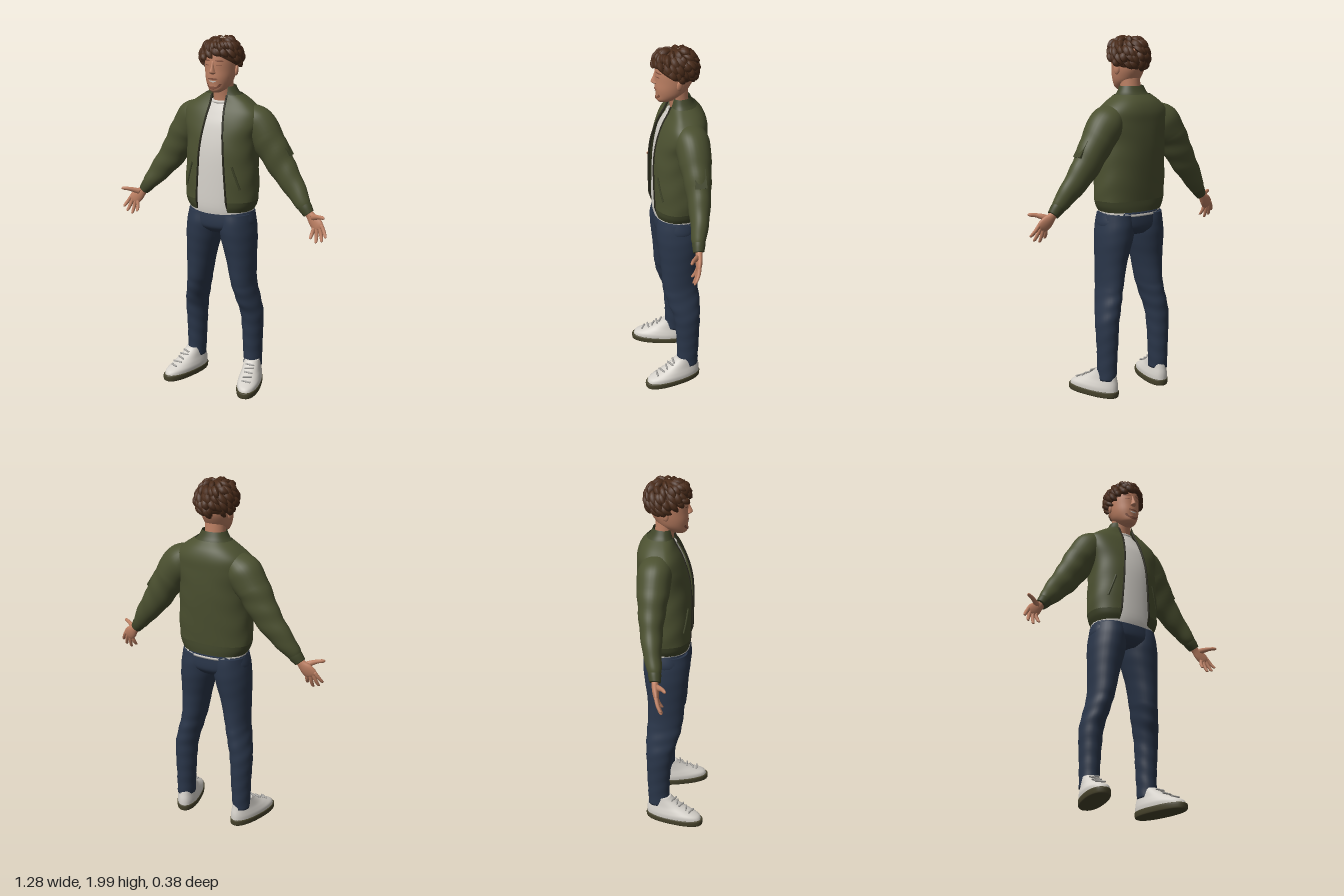
import * as THREE from 'three';
import { mergeGeometries } from 'three/addons/utils/BufferGeometryUtils.js';

const mat = (name, color, side = THREE.FrontSide) => {
  const m = new THREE.MeshStandardMaterial({ color, side });
  m.name = name;
  return m;
};

// Catmull-Rom interpolation of rows of numbers
function smooth(rows, sub) {
  const out = [], last = rows.length - 1, at = i => rows[Math.max(0, Math.min(last, i))];
  for (let i = 0; i < last; i++) for (let k = 0; k < sub; k++) {
    const f = k / sub, [a, b, c, d] = [at(i - 1), at(i), at(i + 1), at(i + 2)];
    out.push(b.map((v, j) => {
      const cubic = 3 * (v - c[j]) + d[j] - a[j], square = 2 * a[j] - 5 * v + 4 * c[j] - d[j];
      return v + 0.5 * f * (c[j] - a[j] + f * (square + f * cubic));
    }));
  }
  out.push(rows[last].slice());
  return out;
}

// Skin over cross-sections [x, y, z, halfWidth, frontDepth, backDepth]; gap(y) leaves the front open
function loft(rows, { sub = 5, n = 32, tilt = false, p = 1, gap = null, ripple = null } = {}) {
  const R = smooth(rows, sub), pos = [], idx = [], cols = gap ? n + 1 : n;
  const pw = v => Math.sign(v) * Math.pow(Math.abs(v), p);
  R.forEach(([x, y, z, ra, rf, rb], j) => {
    let ax = 1, ay = 0;
    if (tilt) {
      const a = R[Math.max(0, j - 1)], b = R[Math.min(R.length - 1, j + 1)];
      const l = Math.hypot(b[0] - a[0], b[1] - a[1]) || 1;
      ax = (b[1] - a[1]) / l; ay = -(b[0] - a[0]) / l;
    }
    const t0 = gap ? Math.asin(Math.pow(Math.min(0.95, gap(y) / ra), 1 / p)) : 0;
    for (let i = 0; i < cols; i++) {
      const t = t0 + (2 * Math.PI - 2 * t0) * i / n, k = ripple ? ripple(y, t) : 1;
      const s = pw(Math.sin(t)) * ra * k, c = pw(Math.cos(t)) * (Math.cos(t) > 0 ? rf : rb) * k;
      pos.push(x + ax * s, y + ay * s, z + c);
    }
  });
  for (let j = 0; j < R.length - 1; j++) for (let i = 0; i < n; i++) {
    const a = j * cols + i, b = j * cols + (i + 1) % cols;
    idx.push(a, b, a + cols, b, b + cols, a + cols);
  }
  if (!gap) [0, R.length - 1].forEach((j, end) => {
    const c = pos.length / 3;
    pos.push(R[j][0], R[j][1], R[j][2]);
    for (let i = 0; i < n; i++) {
      const a = j * n + i, b = j * n + (i + 1) % n;
      if (end) idx.push(a, b, c);
      else idx.push(b, a, c);
    }
  });
  const g = new THREE.BufferGeometry();
  g.setAttribute('position', new THREE.Float32BufferAttribute(pos, 3));
  g.setIndex(idx);
  g.computeVertexNormals();
  g.userData.cols = cols;
  return g;
}

// Depth of the front surface of an upright loft at (x, y)
function frontZ(rows, x, y, p = 1) {
  const R = smooth(rows, 12);
  const r = R.reduce((m, q) => Math.abs(q[1] - y) < Math.abs(m[1] - y) ? q : m);
  const s = Math.pow(Math.min(1, Math.abs(x) / r[3]), 1 / p);
  return r[2] + r[4] * Math.pow(Math.sqrt(1 - s * s), p);
}

const tube = (pts, r, seg = 24) => new THREE.TubeGeometry(
  new THREE.CatmullRomCurve3(pts.map(q => new THREE.Vector3(...q))), seg, r, 6);

export function createModel() {
  const model = new THREE.Group();
  const jacket = mat('olive jacket', 0x4b5030, THREE.DoubleSide), rib = mat('olive ribbing', 0x41462a, THREE.DoubleSide);
  const trim = mat('dark trim', 0x2b2a1e), denim = mat('navy denim', 0x2a364a);
  const white = mat('off white', 0xd6d2cb), lace = mat('lace grey', 0xaaa8a4), sole = mat('sole brown', 0x47432c);
  const skin = mat('skin', 0xbd8063), hairMat = mat('brown hair', 0x4a2c1a), stubble = mat('stubble', 0x855340);
  const add = (name, g, m, parent = model) => {
    const o = new THREE.Mesh(g, m);
    o.name = name;
    parent.add(o);
    return o;
  };

  // Shirt and neck
  add('shirt', loft([[0, 1.02, -.035, .184, .13, .122], [0, 1.1, -.035, .19, .138, .115], [0, 1.35, -.035, .185, .132, .135],
    [0, 1.5, -.035, .18, .108, .135], [0, 1.58, -.04, .13, .085, .11], [0, 1.64, -.045, .068, .062, .07]], { p: .9 }), white);
  add('shirtCollar', new THREE.TorusGeometry(.06, .009, 8, 32).rotateX(Math.PI / 2).translate(0, 1.64, -.045), white);
  add('neck', loft([[0, 1.58, -.05, .065, .052, .055], [0, 1.66, -.047, .056, .05, .05], [0, 1.78, -.03, .058, .055, .06]]), skin);

  // Open jacket
  const body = [[0, 1.105, -.035, .211, .148, .124], [0, 1.2, -.035, .212, .15, .135], [0, 1.35, -.035, .203, .149, .15],
    [0, 1.45, -.035, .205, .136, .155], [0, 1.53, -.035, .222, .112, .155], [0, 1.59, -.038, .218, .09, .15],
    [0, 1.64, -.043, .165, .067, .128], [0, 1.68, -.048, .105, .056, .09]];
  const gap = y => y < 1.4 ? .095 - (y - 1.05) * .065 : Math.max(.045, .072 - (y - 1.4) * .12);
  const folds = (y, t) => 1 + .008 * Math.sin(y * 45 + 3 * Math.sin(2 * t)) * Math.abs(Math.sin(t));
  const shell = add('jacketBody', loft(body, { n: 64, sub: 6, p: .88, gap, ripple: folds }), jacket);
  add('jacketHem', loft([[0, 1.045, -.035, .186, .136, .125], [0, 1.075, -.035, .202, .146, .126], [0, 1.107, -.035, .211, .148, .124]],
    { n: 64, p: .88, gap }), rib);
  add('jacketCollar', loft([[0, 1.665, -.047, .115, .058, .1], [0, 1.69, -.047, .088, .054, .075], [0, 1.725, -.045, .07, .045, .06]],
    { n: 48, p: .95, gap }), rib);

  // Zip edges and slanted pockets
  const sp = shell.geometry.attributes.position, cols = shell.geometry.userData.cols, rings = sp.count / cols;
  for (const s of [1, -1]) {
    const edge = [[s * .095, 1.05, .082]];
    for (let j = 0; j < rings; j += 3) {
      const i = j * cols + (s > 0 ? 0 : cols - 1);
      edge.push([sp.getX(i), sp.getY(i), sp.getZ(i)]);
    }
    add('zipEdge', tube(edge, .006, 50), trim);
    const welt = [0, .33, .67, 1].map(f => {
      const x = .122 + .04 * f, y = 1.31 - .13 * f;
      return [s * x, y, frontZ(body, x, y, .88) + .001];
    });
    add('jacketPocket', tube(welt, .006), rib);
  }

  // Sleeves, hands, legs and shoes
  for (const s of [1, -1]) {
    const side = s > 0 ? 'left' : 'right';
    const mirror = rows => rows.map(([x, ...r]) => [s * x, ...r]);
    const limb = (name, rows, material, o = {}) => add(side + name, loft(mirror(rows), { tilt: true, ...o }), material);
    limb('Sleeve', [[.13, 1.585, -.065, .06, .07, .08], [.185, 1.53, -.07, .1, .085, .1], [.25, 1.445, -.078, .094, .082, .088],
      [.34, 1.30, -.082, .079, .064, .064], [.425, 1.19, -.07, .061, .05, .05], [.475, 1.125, -.055, .047, .04, .04], [.494, 1.1, -.05, .036, .033, .033]],
    jacket, { sub: 10, ripple: (y, t) => 1 + (y < 1.45 ? .026 : .01) * Math.sin(y * 62 + 2.2 * Math.sin(t)) });
    limb('Cuff', [[.484, 1.113, -.052, .04, .035, .035], [.5, 1.092, -.049, .038, .034, .034], [.52, 1.067, -.045, .031, .029, .029]], rib);
    limb('Palm', [[.505, 1.085, -.046, .022, .019, .019], [.527, 1.06, -.045, .025, .018, .018], [.555, 1.032, -.04, .036, .018, .017],
      [.578, 1.008, -.033, .036, .014, .014], [.588, .995, -.029, .028, .009, .01]], skin, { n: 20 });
    const fingers = [[.602, 1.014, .638, .957], [.59, 1.003, .616, .932], [.574, .993, .582, .921], [.557, .992, .547, .939]];
    for (const [x0, y0, x1, y1] of fingers) {
      const at = (f, z, r) => [x0 + (x1 - x0) * f, y0 + (y1 - y0) * f, z, r, r, r];
      limb('Finger', [at(-.1, -.032, .011), at(.4, -.024, .0105), at(.8, -.012, .009), at(.95, -.006, .007), at(1, -.004, .003)], skin, { n: 10, sub: 3 });
    }
    limb('Thumb', [[.54, 1.05, -.036, .017, .013, .013], [.572, 1.062, -.018, .015, .013, .013], [.6, 1.07, 0, .011, .011, .011],
      [.625, 1.073, .012, .01, .009, .009], [.636, 1.073, .017, .004, .004, .004]], skin, { n: 12 });

    // Trouser leg
    limb('TrouserLeg', [[.184, .1, -.063, .05, .06, .06], [.181, .25, -.065, .055, .064, .064], [.178, .42, -.06, .063, .075, .075],
      [.16, .52, -.045, .064, .093, .09], [.14, .62, -.028, .067, .098, .1], [.126, .75, -.025, .081, .105, .105],
      [.109, .88, -.03, .099, .125, .118], [.1, .96, -.03, .101, .13, .124], [.095, 1.03, -.03, .094, .12, .12]],
    denim, { sub: 9, tilt: false, ripple: (y, t) => 1 + (y < .62 ? .018 : .004) * Math.sin(y * 75 + 2.5 * Math.sin(t + s)) });

    // Shoe, turned outward
    const shoe = new THREE.Group();
    shoe.name = side + 'Shoe';
    shoe.position.set(s * .188, 0, -.05);
    shoe.rotation.y = s * .26;
    model.add(shoe);
    add('shoeSole', loft([[0, 0, .083, .058, .16, .165], [0, .006, .083, .064, .167, .17], [0, .03, .083, .066, .168, .172], [0, .036, .083, .062, .163, .168]],
      { p: .85, sub: 3 }), sole, shoe);
    add('shoeUpper', loft([[0, .03, .08, .062, .163, .165], [0, .055, .075, .063, .155, .16], [0, .076, .055, .058, .128, .138],
      [0, .1, .03, .051, .098, .108], [0, .13, .01, .046, .07, .082], [0, .152, 0, .043, .055, .065]], { p: .88 }), white, shoe);
    [[.076, .182], [.09, .152], [.105, .122], [.12, .098], [.134, .078]].forEach(([y, z], i) => {
      const bar = add('shoeLace', new THREE.CapsuleGeometry(.0055, .045, 3, 6).rotateZ(Math.PI / 2), lace, shoe);
      bar.position.set(0, y + .004, z);
      bar.rotation.y = (i % 2 ? 1 : -1) * .25;
    });
  }
  const armPocket = add('sleevePocket', new THREE.BoxGeometry(.012, .1, .06), rib);
  armPocket.position.set(.363, 1.408, -.085);
  armPocket.rotation.z = .56;

  // Trouser seat
  add('trouserSeat', loft([[0, .915, -.03, .1, .09, .09], [0, .945, -.03, .18, .122, .118], [0, .98, -.03, .201, .13, .126], [0, 1.045, -.03, .185, .125, .124]],
    { p: .9 }), denim);

  // Head
  const skull = [[0, 1.7, .035, .022, .03, .03], [0, 1.715, .02, .045, .058, .05], [0, 1.745, 0, .066, .08, .072], [0, 1.78, -.01, .077, .094, .09],
    [0, 1.82, -.02, .083, .103, .1], [0, 1.87, -.022, .085, .105, .105], [0, 1.92, -.025, .082, .1, .103], [0, 1.955, -.025, .055, .07, .07], [0, 1.97, -.025, .02, .03, .03]];
  add('head', loft(skull, { n: 40 }), skin);
  add('nose', loft([[0, 1.802, .075, .012, .012, .01], [0, 1.81, .078, .018, .024, .01], [0, 1.82, .078, .014, .027, .01],
    [0, 1.845, .076, .009, .018, .01], [0, 1.872, .076, .009, .008, .01]], { n: 16 }), skin);
  for (const s of [1, -1]) {
    const ear = add('ear', new THREE.SphereGeometry(1, 14, 10), skin);
    ear.scale.set(.01, .03, .018);
    ear.position.set(s * .086, 1.815, -.032);
    ear.rotation.set(-.15, s * .35, 0);
  }

  // Thin facial details bent to the face
  const patch = (name, m, x, y, w, h, tilt = 0, inner = .01, start = 0, len = Math.PI * 2) => {
    const g = new THREE.RingGeometry(inner, 1, 28, 4, start, len).scale(w, h, 1).rotateZ(tilt).translate(x, y, 0);
    const q = g.attributes.position;
    for (let i = 0; i < q.count; i++) q.setZ(i, frontZ(skull, q.getX(i), q.getY(i)) + .003);
    g.computeVertexNormals();
    add(name, g, m);
  };
  for (const s of [1, -1]) {
    patch('eyebrow', stubble, s * .036, 1.873, .021, .004, s * -.08);
    patch('eyeLine', stubble, s * .035, 1.849, .014, .0025);
  }
  patch('jawStubble', stubble, 0, 1.765, .048, .045, 0, .78, Math.PI * 1.12, Math.PI * .76);
  patch('chinBeard', stubble, 0, 1.727, .02, .009);
  patch('moustache', stubble, 0, 1.777, .03, .0045);
  patch('smile', white, 0, 1.767, .021, .008, 0, .01, Math.PI, Math.PI);

  // Hair cap with a hairline that drops from brow to nape
  const onHead = (a, e, k = 1) => new THREE.Vector3(
    .098 * k * Math.sin(a) * Math.cos(e), 1.878 + .103 * k * Math.sin(e), -.025 + .11 * k * Math.cos(a) * Math.cos(e));
  const hairline = a => -.03 - .35 * (1 - Math.cos(a)) + .3 * Math.pow(Math.max(0, Math.cos(a)), 2);
  const cap = new THREE.SphereGeometry(1, 40, 16), cp = cap.attributes.position, uv = cap.attributes.uv;
  for (let i = 0; i < cp.count; i++) {
    const a = uv.getX(i) * Math.PI * 2, e0 = hairline(a), v = uv.getY(i);
    const q = v < .03 ? onHead(a, e0, .8) : onHead(a, e0 + (Math.PI / 2 - e0) * (v - .0625) / .9375);
    cp.setXYZ(i, q.x, q.y, q.z);
  }
  cap.computeVertexNormals();
  add('hairCap', cap, hairMat);

  // Tousled tapered locks
  let seed = 11;
  const rnd = () => (seed = (seed * 16807) % 2147483647) / 2147483647;
  const locks = [];
  const lock = (p0, p1, p2, r) => {
    const curve = new THREE.QuadraticBezierCurve3(p0, p1, p2), v = new THREE.Vector3();
    const g = new THREE.TubeGeometry(curve, 8, r, 7), q = g.attributes.position;
    for (let i = 0; i < q.count; i++) {
      const f = Math.floor(i / 8) / 8, c = curve.getPointAt(f);
      const taper = Math.pow(Math.max(0, Math.sin(Math.PI * (.12 + .88 * f))), .7);
      v.fromBufferAttribute(q, i).sub(c).multiplyScalar(.06 + .94 * taper).add(c);
      q.setXYZ(i, v.x, v.y, v.z);
    }
    g.computeVertexNormals();
    locks.push(g);
  };
  [[1.3, 9], [.95, 15], [.6, 19], [.25, 20], [-.1, 16]].forEach(([e, count]) => {
    for (let i = 0; i < count; i++) {
      const a = (i + rnd() * .7) / count * Math.PI * 2, low = hairline(a);
      if (e < low + .2) continue;
      const end = Math.max(low - .06, e - .5 - rnd() * .2), turn = .25 + rnd() * .35;
      lock(onHead(a, e, .98), onHead(a + turn * .4, (e + end) / 2, 1.13 + rnd() * .06),
        onHead(a + turn, end, Math.cos(a) > .3 ? 1.1 : 1.03 + rnd() * .07), .015 + rnd() * .006);
    }
  });
  // Raised fringe
  for (let i = 0; i < 9; i++) {
    const a = -.85 + i * .21, k = 1.12 + rnd() * .1;
    lock(onHead(a, .95, .98), onHead(a + .1, .75, k + .1), onHead(a + .3, .32 + rnd() * .2, k - .02), .016);
  }
  add('hairLocks', mergeGeometries(locks), hairMat);

  return model;
}
